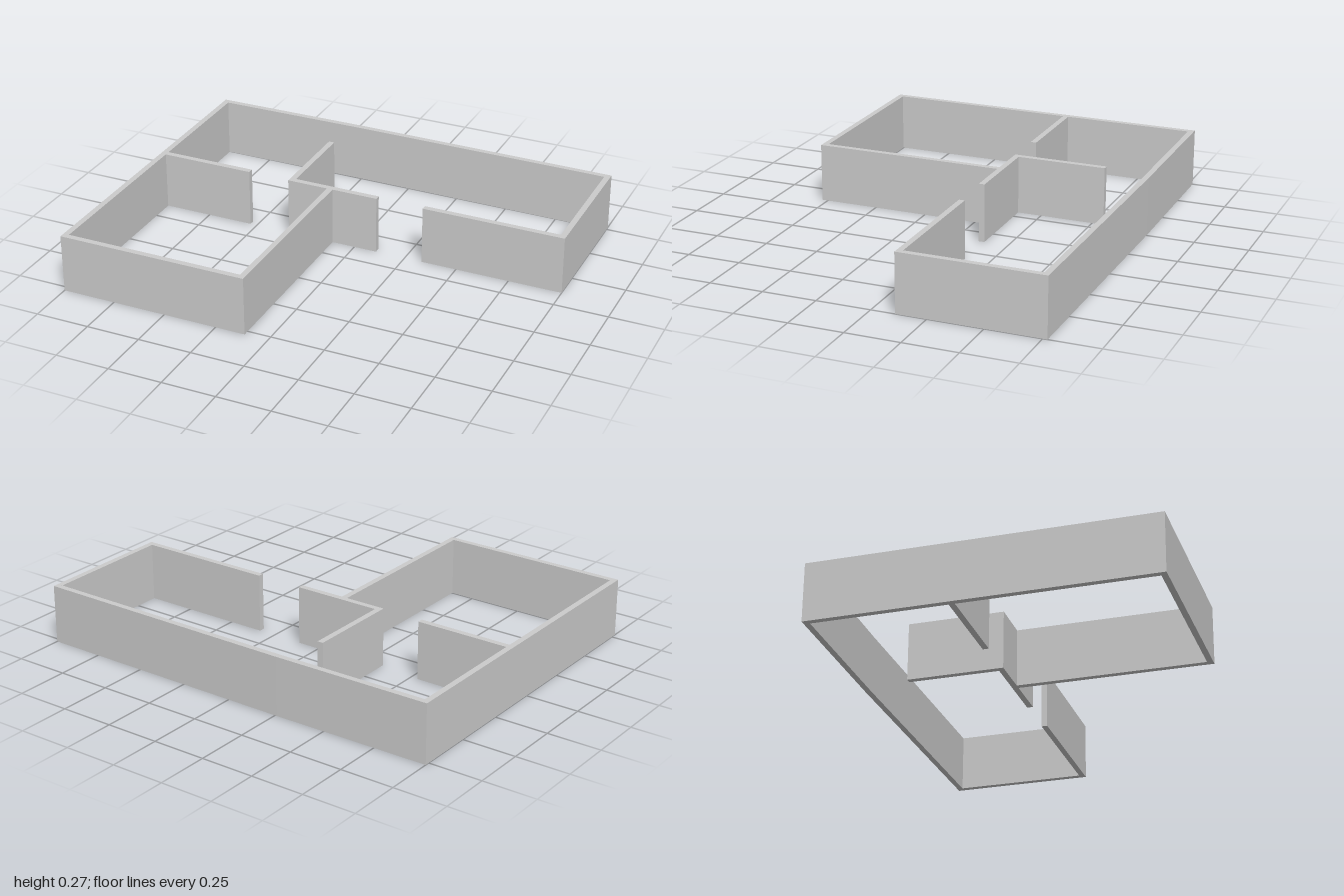
import * as THREE from 'three';

const H = 0.272;       // wall height
const T = 0.027;       // wall thickness
const BACK = -0.771;   // outer back corners
const FRONT = 0.778;   // outer front face
const MID = -0.11;     // front face of the dividing walls

export function createModel() {
  const model = new THREE.Group();
  model.name = 'floorPlanWalls';
  const material = new THREE.MeshStandardMaterial({ color: 0xcccccc, flatShading: true });

  const add = (name, geometry) => {
    const mesh = new THREE.Mesh(geometry, material);
    mesh.name = name;
    model.add(mesh);
  };

  // Straight wall over a plan rectangle
  const wall = (name, x0, x1, z0, z1) => add(name,
    new THREE.BoxGeometry(x1 - x0, H, z1 - z0).translate((x0 + x1) / 2, H / 2, (z0 + z1) / 2));

  // Back wall, bowed very slightly outward, extruded up from its plan outline
  const line = [[-1, BACK], [-0.26, BACK - 0.007], [1, BACK]];
  const outline = [
    ...line.map(([x, z]) => new THREE.Vector2(x, -z)),
    ...line.map(([x, z]) => new THREE.Vector2(x, -z - T)).reverse(),
  ];
  add('backWall', new THREE.ExtrudeGeometry(new THREE.Shape(outline), { depth: H, bevelEnabled: false })
    .rotateX(-Math.PI / 2));

  // Outer walls
  wall('rightSideWall', -1, -1 + T, BACK + T, FRONT);
  wall('leftSideWall', 1 - T, 1, BACK + T, MID);
  wall('frontRoomFrontWall', -1 + T, -0.11 - T, FRONT - T, FRONT);
  wall('frontRoomSideWall', -0.11 - T, -0.11, MID, FRONT);

  // Dividing walls with two door gaps between them
  wall('rightDividingWall', -1 + T, -0.533, MID - T, MID);
  wall('middleDividingWall', -0.333, 0.108, MID - T, MID);
  wall('leftDividingWall', 0.333, 1 - T, MID - T, MID);

  // Free-ended partition in the back room
  wall('partition', -0.333, -0.333 + T, -0.554, MID - T);

  return model;
}
